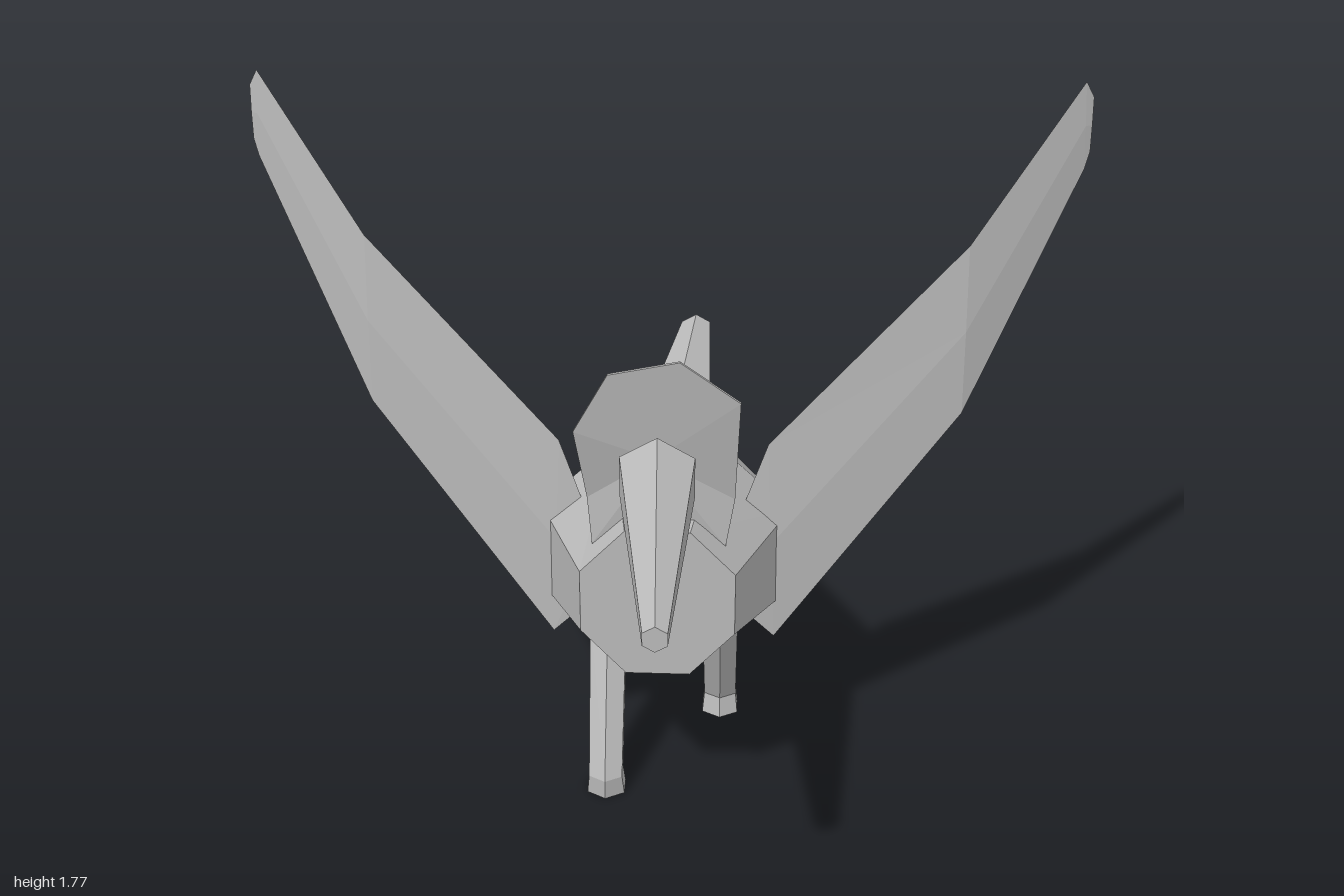
import * as THREE from 'three';

const grey = new THREE.MeshStandardMaterial({ color: 0xbababa, flatShading: true });
grey.name = 'plain grey';

// Closed solid through equal-length cross-sections, wound outwards.
function loft(name, rings) {
  const n = rings[0].length;
  const points = rings.flat();
  const faces = [];
  for (let r = 0; r < rings.length - 1; r++) {
    for (let i = 0; i < n; i++) {
      const a = r * n + i, b = r * n + (i + 1) % n;
      faces.push([a, b, b + n], [a, b + n, a + n]);
    }
  }
  // end caps as fans around the ring centre
  [0, rings.length - 1].forEach((r, end) => {
    const centre = [0, 1, 2].map(k => rings[r].reduce((s, p) => s + p[k], 0) / n);
    const c = points.push(centre) - 1;
    for (let i = 0; i < n; i++) {
      const a = r * n + i, b = r * n + (i + 1) % n;
      faces.push(end ? [c, a, b] : [c, b, a]);
    }
  });
  const v = points.map(p => new THREE.Vector3(...p));
  const volume = faces.reduce((s, [a, b, c]) => s + v[a].dot(v[b].clone().cross(v[c])), 0);
  if (volume < 0) faces.forEach(f => f.reverse());
  const geometry = new THREE.BufferGeometry();
  geometry.setAttribute('position', new THREE.Float32BufferAttribute(points.flat(), 3));
  geometry.setIndex(faces.flat());
  geometry.computeVertexNormals();
  const mesh = new THREE.Mesh(geometry, grey);
  mesh.name = name;
  return mesh;
}

// Upright hexagon with a corner on top
function hexZ(x, y, z, r) {
  return Array.from({ length: 6 }, (_, i) => {
    const a = i * Math.PI / 3;
    return [x + r * Math.sin(a), y + r * Math.cos(a), z];
  });
}

// Level hexagon for the legs
function hexY(x, y, z, r) {
  return Array.from({ length: 6 }, (_, i) => {
    const a = i * Math.PI / 3;
    return [x + r * Math.sin(a), y, z + r * Math.cos(a)];
  });
}

// Eight-sided body section: half widths of top, side and bottom, then four heights
function bodyRing(z, top, side, bottom, [y0, y1, y2, y3]) {
  return [[top, y0, z], [side, y1, z], [side, y2, z], [bottom, y3, z],
    [-bottom, y3, z], [-side, y2, z], [-side, y1, z], [-top, y0, z]];
}

// The wing sweeps backwards, more strongly beyond its bend
function wingZ(x) {
  return x < 0.7 ? -0.095 * (x - 0.2) / 0.5 : -0.095 - 0.145 * (x - 0.7) / 0.27;
}

function wing(name, side) {
  // each section: upper edge x, y, lower edge x, y, half thickness
  const sections = [
    [0.18, 0.74, 0.20, 0.48, 0.008],
    [0.25, 0.94, 0.275, 0.40, 0.009],
    [0.70, 1.42, 0.71, 0.99, 0.007],
    [0.95, 1.77, 0.965, 1.56, 0.004],
    [0.972, 1.73, 0.975, 1.60, 0.003],
  ];
  return loft(name, sections.map(([tx, ty, bx, by, t]) => {
    const mx = (tx + bx) / 2, my = (ty + by) / 2;
    return [[tx, ty, wingZ(tx)], [mx, my, wingZ(mx) + t], [bx, by, wingZ(bx)], [mx, my, wingZ(mx) - t]]
      .map(([x, y, z]) => [side * x, y, z]);
  }));
}

function leg(name, x, hipZ, ankleZ, footZ) {
  return loft(name, [
    hexY(x, 0.42, hipZ, 0.052),
    hexY(x, 0.055, ankleZ, 0.048),
    hexY(x, 0, footZ, 0.054),
  ]);
}

export function createModel() {
  const bird = new THREE.Group();
  bird.name = 'bird';

  bird.add(loft('body', [
    bodyRing(0.28, 0.075, 0.18, 0.075, [0.86, 0.75, 0.59, 0.475]),
    bodyRing(-0.11, 0.13, 0.31, 0.13, [0.88, 0.71, 0.475, 0.31]),
    bodyRing(-0.525, 0.05, 0.12, 0.05, [0.765, 0.69, 0.59, 0.515]),
  ]));

  // thin leaning head plate, bent at the neck
  const headOutline = [
    [-0.11, 1.25, 0.272], [0.05, 1.285, 0.275], [0.185, 1.18, 0.258], [0.175, 0.91, 0.205],
    [0.155, 0.79, 0.215], [-0.155, 0.79, 0.215], [-0.165, 0.91, 0.21], [-0.19, 1.10, 0.255],
  ];
  bird.add(loft('head', [0.004, -0.004].map(d => headOutline.map(([x, y, z]) => [x, y, z + d]))));

  bird.add(loft('beak', [hexZ(0.007, 1.075, 0.415, 0.095), hexZ(0.032, 1.035, 1, 0.029)]));
  bird.add(loft('tail', [hexZ(0.002, 0.665, -0.5, 0.112), hexZ(0.045, 0.79, -1, 0.046)]));

  bird.add(wing('leftWing', 1), wing('rightWing', -1));
  bird.add(leg('leftLeg', 0.14, -0.11, -0.285, -0.28));
  bird.add(leg('rightLeg', -0.14, -0.06, 0.10, 0.09));
  return bird;
}
